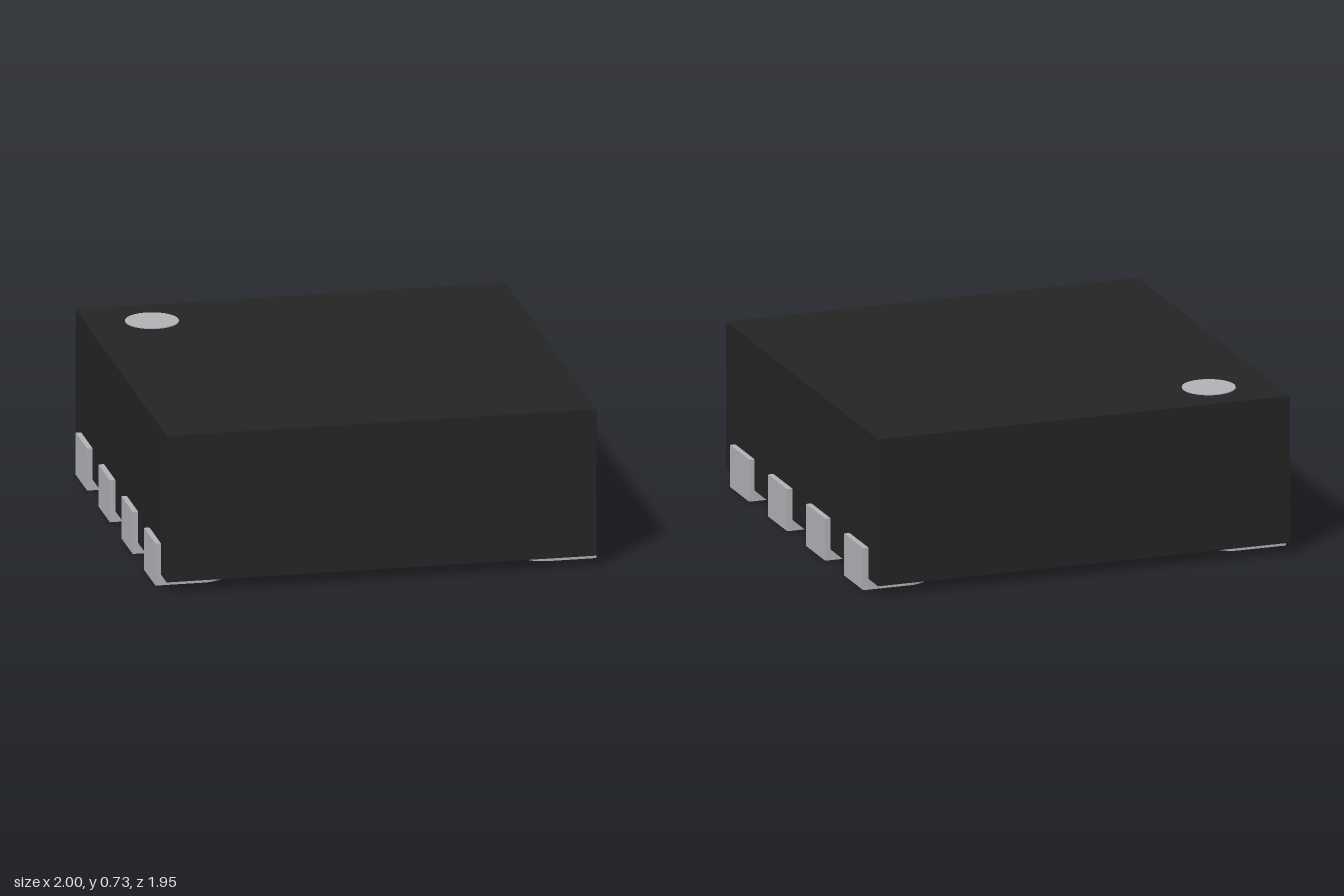
import * as THREE from 'three';

const BODY = 0.975;      // half width of the square body
const FOOT = 0.05;       // thickness of the contacts under the body
const TOP = 0.73;

export function createModel() {
  const model = new THREE.Group();
  model.name = 'chipPackage';

  const black = new THREE.MeshStandardMaterial({ color: 0x242424 });
  black.name = 'black plastic';
  const metal = new THREE.MeshStandardMaterial({ color: 0xb2b1b6 });
  metal.name = 'grey metal';

  const add = (parent, name, geometry, material, x = 0, y = 0, z = 0) => {
    const mesh = new THREE.Mesh(geometry, material);
    mesh.name = name;
    mesh.position.set(x, y, z);
    parent.add(mesh);
    return mesh;
  };

  // Extrudes an outline drawn in x and -z upwards from y = 0
  const slab = (shape, height) =>
    new THREE.ExtrudeGeometry(shape, { depth: height, bevelEnabled: false, curveSegments: 24 })
      .rotateX(-Math.PI / 2);

  // Plastic body
  add(model, 'body', new THREE.BoxGeometry(BODY * 2, TOP - FOOT, BODY * 2), black, 0, (TOP + FOOT) / 2, 0);

  // Thin round marker for the first contact
  add(model, 'cornerMarker', new THREE.CylinderGeometry(0.12, 0.12, 0.004, 48), metal, -0.68, TOP + 0.002, -0.73);

  // Central pad with one chamfered corner at -x, -z
  const w = 0.34, d = 0.64, c = 0.25;
  const padShape = new THREE.Shape([[-w, -d], [w, -d], [w, d], [-w + c, d], [-w, d - c]]
    .map(([x, y]) => new THREE.Vector2(x, y)));
  add(model, 'centralPad', slab(padShape, FOOT), metal);

  // Contacts: a foot with a rounded inner end and an upright side plate
  const r = 0.122, inner = 0.66;
  const footShape = new THREE.Shape();
  footShape.moveTo(1, -r);
  footShape.lineTo(1, r);
  footShape.lineTo(inner + r, r);
  footShape.absarc(inner + r, 0, r, Math.PI / 2, Math.PI * 1.5, false);
  footShape.closePath();
  const footGeometry = slab(footShape, FOOT);
  const plateHeight = 0.195 - FOOT;
  const plateGeometry = new THREE.BoxGeometry(1 - BODY, plateHeight, r * 2);

  for (const side of [1, -1]) {
    for (let i = 0; i < 4; i++) {
      const contact = new THREE.Group();
      contact.name = (side > 0 ? 'leftContact' : 'rightContact') + (i + 1);
      contact.position.z = (i - 1.5) * 0.487;
      contact.rotation.y = side > 0 ? 0 : Math.PI;
      add(contact, 'foot', footGeometry, metal);
      add(contact, 'sidePlate', plateGeometry, metal, (1 + BODY) / 2, FOOT + plateHeight / 2, 0);
      model.add(contact);
    }
  }

  return model;
}
